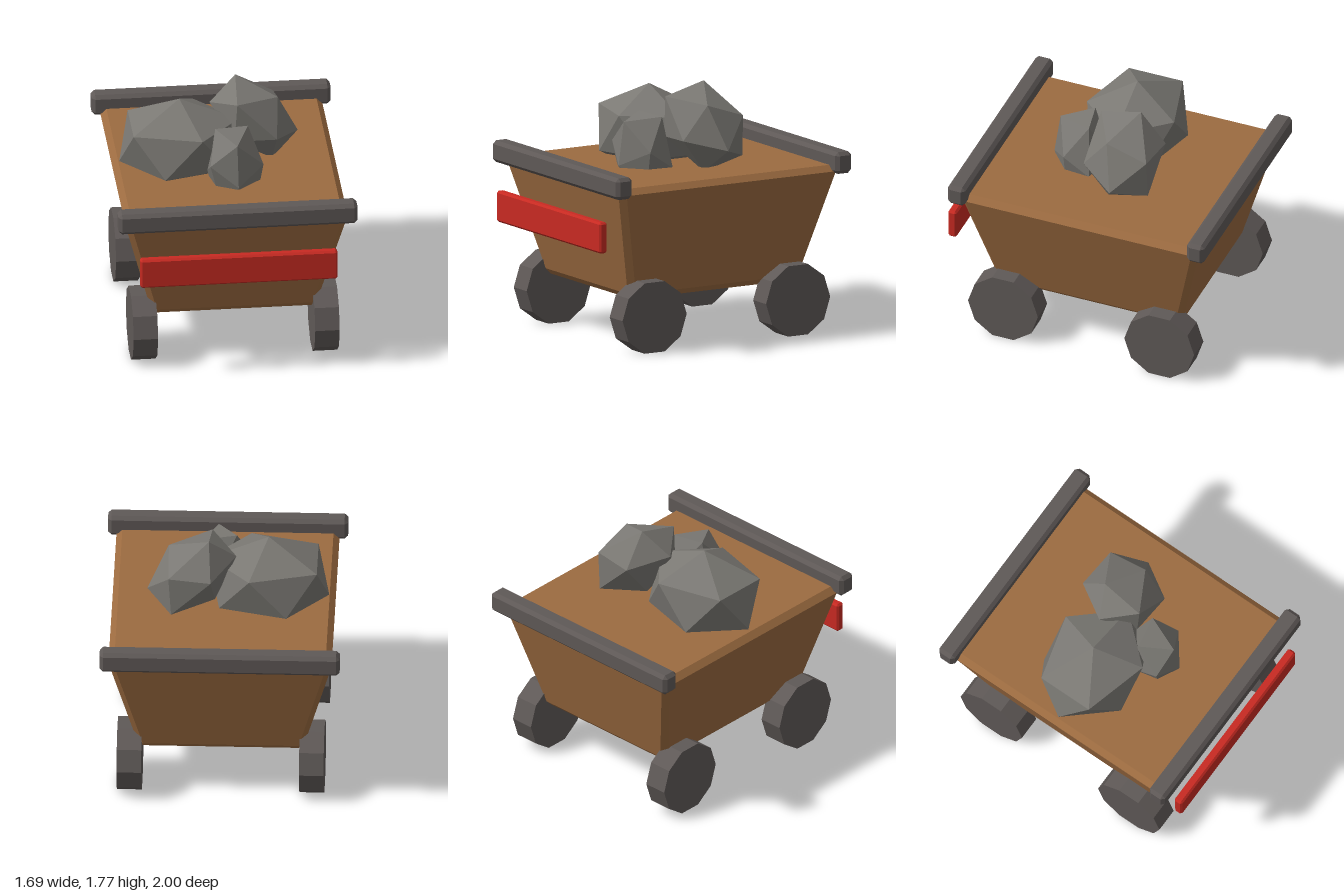
import * as THREE from 'three';
import { ConvexGeometry } from 'three/addons/geometries/ConvexGeometry.js';

const V = (x, y, z) => new THREE.Vector3(x, y, z);
const mat = (color) => new THREE.MeshStandardMaterial({ color, flatShading: true });
const SIGNS = [[1, 1], [1, -1], [-1, 1], [-1, -1]];

// Box with chamfered edges, half sizes given at the bottom and at the top
function chamferBox(y0, y1, [bx, bz], [tx, tz], c) {
  const pts = [];
  for (const [y, dy, hx, hz] of [[y0, c, bx, bz], [y1, -c, tx, tz]]) {
    for (const [sx, sz] of SIGNS) {
      pts.push(V(sx * (hx - c), y, sz * (hz - c)));
      pts.push(V(sx * hx, y + dy, sz * (hz - c)));
      pts.push(V(sx * (hx - c), y + dy, sz * hz));
    }
  }
  return new ConvexGeometry(pts);
}

// Twenty-sided boulder: six corners, the other six lie opposite through the centre
function rockGeometry(center, corners) {
  const c = V(...center);
  return new ConvexGeometry(corners.flatMap((p) => {
    const v = V(...p);
    return [v, c.clone().multiplyScalar(2).sub(v)];
  }));
}

export function createModel() {
  const group = new THREE.Group();
  const wood = mat(0x9c6b40), iron = mat(0x5f5957), stone = mat(0x7a7873), red = mat(0xc82a22);
  const zc = -0.025;

  const add = (name, geometry, material, x = 0, y = 0, z = 0) => {
    const mesh = new THREE.Mesh(geometry, material);
    mesh.name = name;
    mesh.position.set(x, y, z);
    group.add(mesh);
  };

  // Tapered wagon body
  add('body', chamferBox(0.36, 1.2, [0.59, 0.705], [0.785, 0.9], 0.042), wood, 0, 0, zc);

  // Rails across both ends
  const rail = chamferBox(1.145, 1.3, [0.845, 0.066], [0.845, 0.066], 0.025);
  add('frontRail', rail, iron, 0, 0, zc + 0.907);
  add('backRail', rail, iron, 0, 0, zc - 0.907);

  // Front plate
  add('frontPlate', chamferBox(0.745, 0.967, [0.697, 0.032], [0.697, 0.032], 0.014), red, 0, 0, 0.968);

  // Ten-sided wheels
  const wheel = new THREE.CylinderGeometry(0.265, 0.265, 0.173, 10).rotateZ(Math.PI / 2);
  for (const [sx, sz] of SIGNS) {
    const name = (sz > 0 ? 'front' : 'back') + (sx > 0 ? 'Left' : 'Right') + 'Wheel';
    add(name, wheel, iron, sx * 0.642, 0.252, zc + sz * 0.593);
  }

  // Wide boulder: apex and a stretched ring of five
  const wide = [[-0.316, 1.696, -0.03]];
  for (let i = 0; i < 5; i++) {
    const a = (i * Math.PI * 2) / 5;
    wide.push([-0.316 + 0.425 * Math.cos(a), 1.516, -0.03 + 0.348 * Math.sin(a)]);
  }
  add('wideRock', rockGeometry([-0.316, 1.37, -0.03], wide), stone);

  // Tall boulder
  add('tallRock', rockGeometry([0.222, 1.467, -0.15], [
    [0.10, 1.765, -0.225], [0.386, 1.645, -0.08], [0.083, 1.678, 0.083],
    [0.083, 1.53, -0.405], [0.535, 1.335, -0.16], [0.38, 1.545, -0.378],
  ]), stone);

  // Small boulder
  add('smallRock', rockGeometry([0.05, 1.277, 0.25], [
    [-0.085, 1.56, 0.195], [0.15, 1.55, 0.15], [0.05, 1.523, 0.405],
    [-0.138, 1.36, 0.385], [0.245, 1.32, 0.305], [0.045, 1.34, 0.05],
  ]), stone);

  return group;
}
